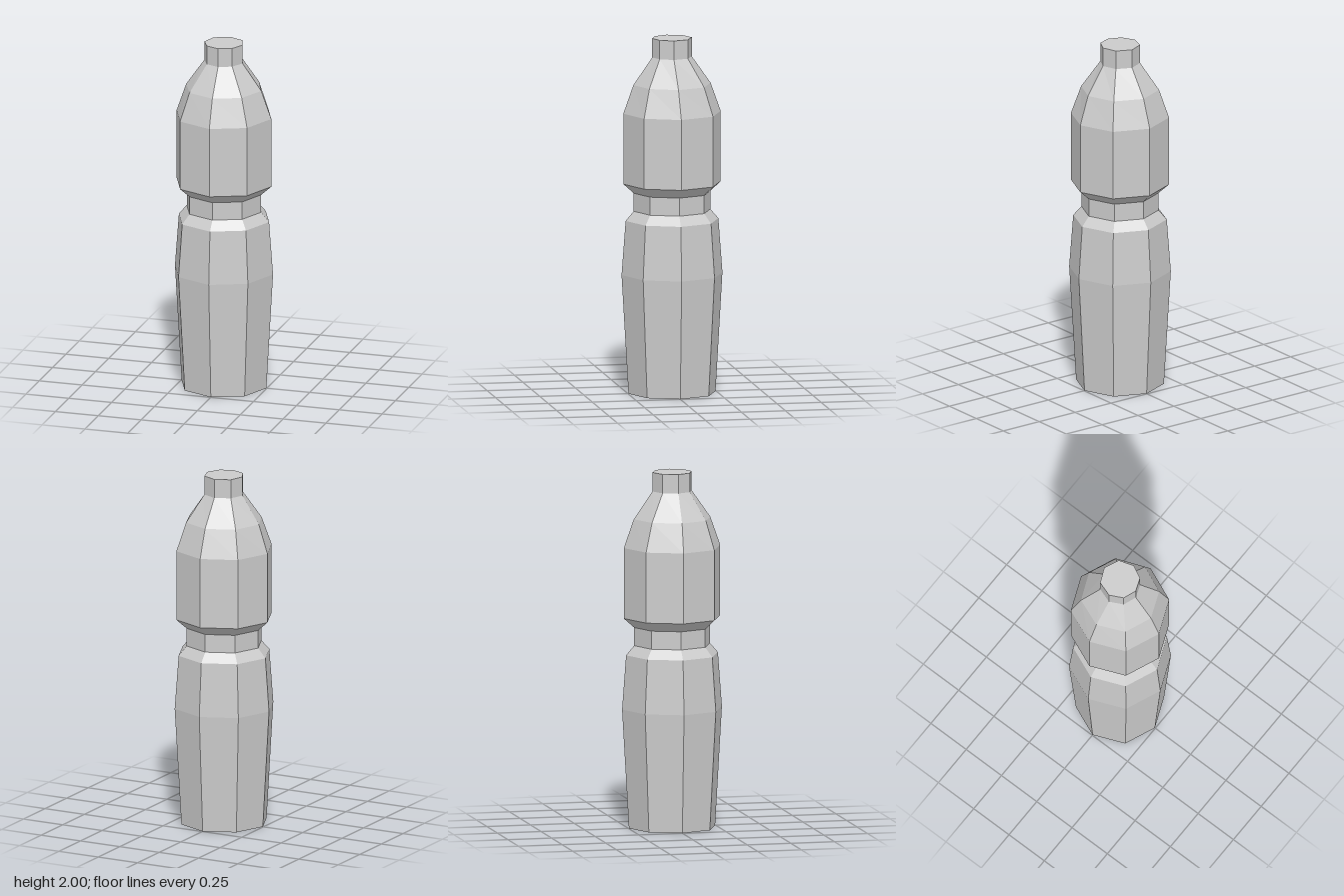
import * as THREE from 'three';

const SIDES = 8;
const material = new THREE.MeshStandardMaterial({ color: 0xcccccc, flatShading: true });

// Eight-sided turned band; profile is [radius, y] from bottom to top.
function band(name, profile) {
  const points = profile.map(([r, y]) => new THREE.Vector2(r, y));
  const geometry = new THREE.LatheGeometry(points, SIDES);
  const pos = geometry.attributes.position;
  for (let i = 0; i < pos.count; i++) {
    // towards the neck the side corners lean slightly to the front
    const y = pos.getY(i);
    const lean = y > 1.85 ? 0.09 : y > 1.7 ? 0.023 : 0;
    const r = Math.hypot(pos.getX(i), pos.getZ(i));
    const a = Math.atan2(pos.getX(i), pos.getZ(i));
    const b = a - lean * Math.sin(a);
    pos.setXYZ(i, r * Math.sin(b), y, r * Math.cos(b));
  }
  geometry.computeVertexNormals();
  const mesh = new THREE.Mesh(geometry, material);
  mesh.name = name;
  return mesh;
}

export function createModel() {
  const bottle = new THREE.Group();
  bottle.name = 'bottle';
  bottle.add(
    // closed base and bulging lower body
    band('lowerBody', [[0, 0], [0.247, 0], [0.286, 0.67], [0.263, 0.975], [0.217, 1.028]]),
    // narrow waist
    band('waist', [[0.217, 1.028], [0.217, 1.13]]),
    // flare, straight upper body and shoulders
    band('upperBody', [[0.217, 1.13], [0.276, 1.183], [0.276, 1.58], [0.219, 1.74], [0.112, 1.893]]),
    // neck with flat closed top
    band('neck', [[0.112, 1.893], [0.112, 2], [0, 2]]),
  );
  return bottle;
}
